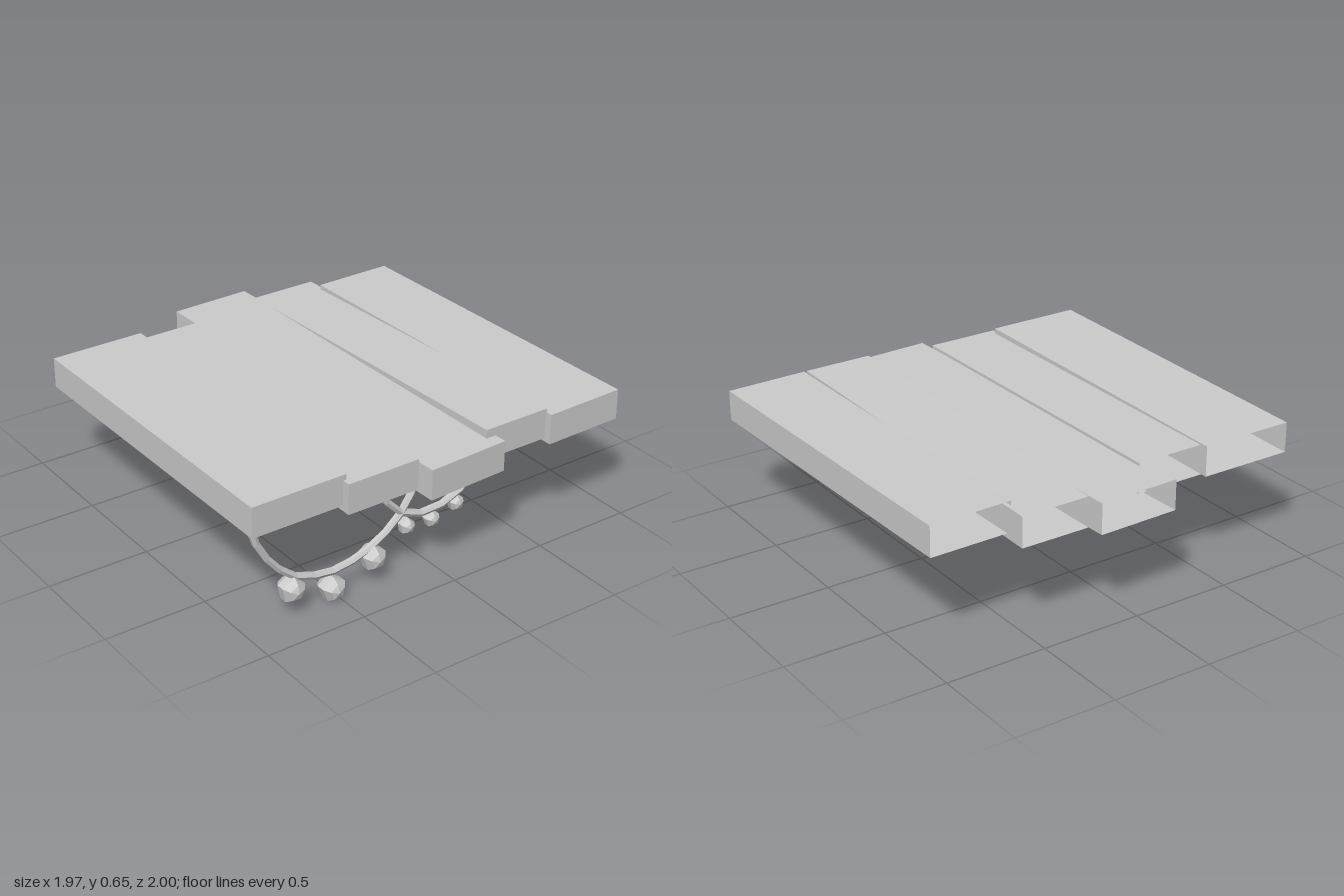
import * as THREE from 'three';

const material = new THREE.MeshStandardMaterial({ color: 0xcccccc, flatShading: true, side: THREE.DoubleSide });
const THICKNESS = 0.15;
const ROPE_Z = 0.79;

// Plank ends: [left x, right x, left z, right z, underside y]
const planks = [
  { front: [-0.985, -0.505, 0.87, 0.87, 0.512], back: [-0.975, -0.5, -0.84, -0.84, 0.493] },
  { front: [-0.522, -0.15, 0.91, 0.91, 0.485], back: [-0.52, -0.152, -0.795, -0.795, 0.485] },
  { front: [-0.145, 0.275, 1.0, 0.98, 0.47], back: [-0.205, 0.205, -0.99, -1.0, 0.47] },
  { front: [0.222, 0.57, 0.915, 0.915, 0.512], back: [0.207, 0.553, -0.905, -0.905, 0.467] },
  { front: [0.567, 0.98, 0.95, 0.94, 0.495], back: [0.535, 0.945, -0.795, -0.8, 0.493] },
];

// Hanging ropes with their baubles [x, y, z, radius, turn]
const garlands = [
  {
    points: [[-0.947, 0.52], [-0.92, 0.43], [-0.87, 0.34], [-0.81, 0.265], [-0.73, 0.195], [-0.62, 0.153], [-0.52, 0.14],
      [-0.41, 0.155], [-0.3, 0.195], [-0.2, 0.26], [-0.13, 0.33], [-0.085, 0.405], [-0.06, 0.49]],
    baubles: [[-0.74, 0.135, 0.79, 0.065, -0.1], [-0.525, 0.06, 0.79, 0.065, 0.06], [-0.305, 0.138, 0.79, 0.065, 0]],
  },
  {
    points: [[-0.278, 0.5], [-0.225, 0.385], [-0.15, 0.31], [-0.07, 0.275], [0.02, 0.265], [0.16, 0.3], [0.255, 0.39], [0.293, 0.52]],
    baubles: [[-0.115, 0.23, 0.785, 0.042, -0.1], [0.025, 0.22, 0.785, 0.042, 0.06], [0.17, 0.25, 0.775, 0.042, 0]],
  },
];

function addMesh(parent, geometry, name) {
  const mesh = new THREE.Mesh(geometry, material);
  mesh.name = name;
  parent.add(mesh);
  return mesh;
}

// Hollow plank: a skewed box without its back end
function plankGeometry({ front, back }) {
  const geometry = new THREE.BoxGeometry(1, 1, 1);
  const p = geometry.attributes.position;
  for (let i = 0; i < p.count; i++) {
    const end = p.getZ(i) > 0 ? front : back;
    const side = p.getX(i) > 0 ? 1 : 0;
    p.setXYZ(i, end[side], end[4] + (p.getY(i) > 0 ? THICKNESS : 0), end[2 + side]);
  }
  geometry.setIndex(Array.from(geometry.index.array).slice(0, 30));
  geometry.clearGroups();
  geometry.computeVertexNormals();
  return geometry;
}

// Straight-segmented rope
function ropeGeometry(points) {
  const path = new THREE.CurvePath();
  const v = points.map(([x, y]) => new THREE.Vector3(x, y, ROPE_Z));
  const curve = new THREE.CatmullRomCurve3(v);
  path.add(curve);
  return new THREE.TubeGeometry(curve, points.length - 1, 0.018, 6, false);
}

export function createModel() {
  const model = new THREE.Group();
  model.name = 'plankPlatform';

  const deck = new THREE.Group();
  deck.name = 'deck';
  planks.forEach((spec, i) => addMesh(deck, plankGeometry(spec), `plank${i + 1}`));
  model.add(deck);

  garlands.forEach(({ points, baubles }, i) => {
    const garland = new THREE.Group();
    garland.name = `garland${i + 1}`;
    addMesh(garland, ropeGeometry(points), 'rope');
    baubles.forEach(([x, y, z, r, turn], j) => {
      // Five-sided bauble with its axis towards the front
      const ball = new THREE.SphereGeometry(r, 5, 5).rotateX(Math.PI / 2).rotateZ(turn - Math.PI / 2);
      addMesh(garland, ball, `bauble${j + 1}`).position.set(x, y, z);
    });
    model.add(garland);
  });

  return model;
}
